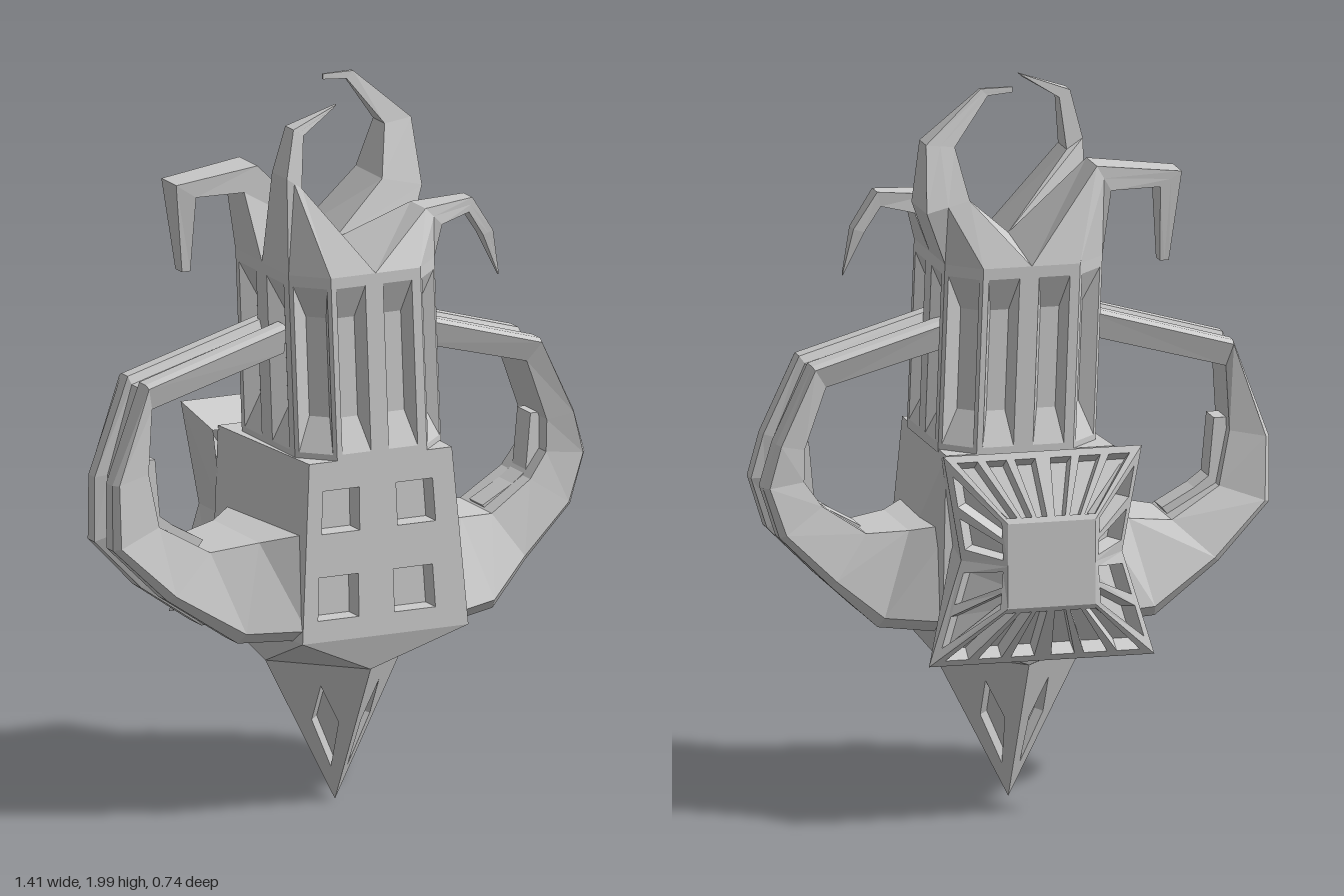
import * as THREE from 'three';

const V = (x, y, z) => new THREE.Vector3(x, y, z);
const V2 = (x, y) => new THREE.Vector2(x, y);
const material = new THREE.MeshStandardMaterial({ color: 0xcccccc, flatShading: true, side: THREE.DoubleSide });
const MID = 0.125; // z of the vertical axis of the body

function toMesh(points, name) {
  const geometry = new THREE.BufferGeometry().setFromPoints(points);
  geometry.computeVertexNormals();
  const mesh = new THREE.Mesh(geometry, material);
  mesh.name = name;
  return mesh;
}

// Four-sided panel facing away from centre, with tapered recesses given in panel coordinates (0..1)
function panel(out, corners, centre, holes = [], depth = 0.04, taper = 0.75) {
  let [a, b, c, d] = corners;
  const normal = c.clone().sub(a).cross(d.clone().sub(b)).normalize();
  const middle = a.clone().add(b).add(c).add(d).multiplyScalar(0.25);
  if (normal.dot(middle.sub(centre)) < 0) {
    [a, b, c, d] = [b, a, d, c];
    normal.negate();
  }
  const at = (p, sink = 0) => a.clone().lerp(b, p.x)
    .lerp(d.clone().lerp(c, p.x), p.y).addScaledVector(normal, -sink);
  const outline = [V2(0, 0), V2(1, 0), V2(1, 1), V2(0, 1)];
  const all = [...outline, ...holes.flat()];
  for (const [i, j, k] of THREE.ShapeUtils.triangulateShape(outline, holes)) {
    const [p, q, r] = [all[i], all[j], all[k]];
    const ccw = (q.x - p.x) * (r.y - p.y) - (q.y - p.y) * (r.x - p.x) > 0;
    out.push(at(p), at(ccw ? q : r), at(ccw ? r : q));
  }
  for (const hole of holes) {
    const mid = hole.reduce((s, p) => s.add(p), V2(0, 0)).divideScalar(hole.length);
    const floor = hole.map(p => at(mid.clone().lerp(p, taper), depth));
    hole.forEach((p, i) => {
      const j = (i + 1) % hole.length;
      const P = at(p), Q = at(hole[j]);
      out.push(P, Q, floor[j], P, floor[j], floor[i]);
      if (i > 0 && j > 0) out.push(floor[0], floor[i], floor[j]);
    });
  }
}

// Closed skin through rings of equal point count, turned outward by its signed volume
function loft(rings, name) {
  const out = [], n = rings[0].length;
  for (let s = 0; s < rings.length - 1; s++) {
    for (let i = 0; i < n; i++) {
      const j = (i + 1) % n, [A, B] = [rings[s], rings[s + 1]];
      out.push(A[i], A[j], B[j], A[i], B[j], B[i]);
    }
  }
  const first = rings[0], last = rings[rings.length - 1];
  for (let i = 1; i < n - 1; i++) {
    out.push(first[0], first[i + 1], first[i], last[0], last[i], last[i + 1]);
  }
  let volume = 0;
  for (let i = 0; i < out.length; i += 3) volume += out[i].dot(out[i + 1].clone().cross(out[i + 2]));
  if (volume < 0) {
    for (let i = 0; i < out.length; i += 3) [out[i], out[i + 1]] = [out[i + 1], out[i]];
  }
  return toMesh(out, name);
}

const rect = (u0, v0, u1, v1) => [V2(u0, v0), V2(u1, v0), V2(u1, v1), V2(u0, v1)];

// Four-sided ring from an outer and an inner point in the front plane
const ring = (ox, oy, ix, iy, w, z) =>
  [V(ox, oy, z - w), V(ox, oy, z + w), V(ix, iy, z + w), V(ix, iy, z - w)];

// The same with a fifth point on the side that faces the front (dir 1) or the back (dir -1)
const hornRing = (ox, oy, ix, iy, w, z, dir) => {
  const far = z + dir * w, near = z - dir * w;
  return [V(ox, oy, near), V(ox, oy, far), V((ox + ix) / 2, (oy + iy) / 2, far), V(ix, iy, far), V(ix, iy, near)];
};

// Arm ring with a channel along its outer side
function armRing([ox, oy, ix, iy, w, groove = 0.3, inner = 0.8], side, zc) {
  const point = (t, z) => V(side * (ox + (ix - ox) * t), oy + (iy - oy) * t, zc + z * w);
  return [point(0.12, -1), point(0, -0.8), point(0, -0.38), point(groove, -0.25), point(groove, 0.25),
    point(0, 0.38), point(0, 0.8), point(0.12, 1), point(1, inner), point(1, -inner)];
}

export function createModel() {
  const model = new THREE.Group();

  // Square body with four front windows
  const body = [], bodyCentre = V(0, 0.77, MID);
  const low = [V(-0.22, 0.52, 0.37), V(0.28, 0.52, 0.37), V(0.25, 0.52, -0.12), V(-0.25, 0.52, -0.12)];
  const high = [V(-0.2, 1.02, 0.37), V(0.23, 1.02, 0.37), V(0.24, 1.02, -0.12), V(-0.23, 1.02, -0.12)];
  const windows = [[0.09, 0.12], [0.56, 0.12], [0.1, 0.6], [0.6, 0.6]]
    .map(([u, v]) => rect(u, v, u + 0.25, v + 0.24));
  for (let i = 0; i < 4; i++) {
    const j = (i + 1) % 4;
    panel(body, [low[i], low[j], high[j], high[i]], bodyCentre, i === 0 ? windows : [], 0.06, 1);
  }
  panel(body, low, bodyCentre);
  panel(body, high, bodyCentre);
  model.add(toMesh(body, 'body'));

  // Tower with chamfered corners: two flutes on each broad face, one on each chamfer
  const tower = [], towerCentre = V(0, 1.28, MID);
  const outline = [[-0.135, 0.245], [0.135, 0.245], [0.22, 0.16], [0.22, -0.16],
    [0.135, -0.245], [-0.135, -0.245], [-0.22, -0.16], [-0.22, 0.16]];
  const foot = outline.map(([x, z]) => V(x + 0.02, 1.01, MID + z));
  const rim = outline.map(([x, z]) => V(x, 1.53, MID + z));
  const broad = [rect(0.06, 0.05, 0.38, 0.94), rect(0.58, 0.05, 0.9, 0.94)];
  const narrow = [rect(0.1, 0.05, 0.9, 0.94)];
  for (let i = 0; i < 8; i++) {
    const j = (i + 1) % 8;
    panel(tower, [foot[i], foot[j], rim[j], rim[i]], towerCentre, i % 2 ? narrow : broad, 0.04, 0.6);
  }
  model.add(toMesh(tower, 'tower'));

  // Four horns, one growing from each quarter of the tower top
  const horns = [
    ['frontRightHorn', -1, 0.25, [[-0.23, 1.8, -0.185, 1.77, 0.045], [-0.2, 1.93, -0.17, 1.91, 0.025],
      [-0.06, 1.98, -0.07, 1.97, 0.004]]],
    ['backLeftHorn', 1, 0.01, [[0.28, 1.68, 0.16, 1.71, 0.08], [0.27, 1.86, 0.19, 1.85, 0.035],
      [0.11, 2, 0.09, 1.98, 0.006], [0.02, 2, 0.02, 1.985, 0.003]]],
    ['frontLeftHorn', 1, 0.247, [[0.24, 1.62, 0.19, 1.67, 0.045], [0.33, 1.64, 0.34, 1.68, 0.027],
      [0.375, 1.57, 0.405, 1.58, 0.022], [0.43, 1.45, 0.43, 1.46, 0.004]]],
    ['backRightHorn', -1, 0.003, [[-0.24, 1.71, -0.2, 1.78, 0.055], [-0.38, 1.71, -0.44, 1.75, 0.045],
      [-0.385, 1.5, -0.41, 1.5, 0.02]]],
  ];
  for (const [name, side, z, sections] of horns) {
    const dir = z > MID ? 1 : -1;
    const base = [V(side * 0.22, 1.53, MID), V(side * 0.22, 1.53, MID + dir * 0.16),
      V(side * 0.135, 1.53, MID + dir * 0.245), V(0, 1.53, MID + dir * 0.245), V(0, 1.57, MID)];
    model.add(loft([base, ...sections.map(s => hornRing(...s, z, dir))], name));
  }

  // Curved arms from the body sides round to the tower
  const leftArm = [[0.25, 0.52, 0.2, 0.82, 0.235, 0.05, 0.9], [0.4, 0.53, 0.31, 0.79, 0.175, 0.15, 0.75],
    [0.52, 0.64, 0.42, 0.78, 0.12], [0.66, 0.78, 0.54, 0.86, 0.11], [0.705, 0.92, 0.59, 0.93, 0.105],
    [0.67, 1.04, 0.59, 1.02, 0.11], [0.57, 1.25, 0.53, 1.19, 0.11], [0.19, 1.36, 0.19, 1.28, 0.105]];
  const rightArm = [[0.21, 0.52, 0.19, 0.82, 0.24, 0.05, 0.9], [0.37, 0.52, 0.3, 0.79, 0.185, 0.15, 0.75],
    [0.56, 0.65, 0.43, 0.77, 0.13], [0.71, 0.8, 0.57, 0.85, 0.095], [0.71, 0.98, 0.6, 1, 0.09],
    [0.61, 1.25, 0.59, 1.18, 0.09], [0.19, 1.37, 0.19, 1.29, 0.085]];
  for (const [name, side, arm, zc] of [['leftArm', 1, leftArm, 0.135], ['rightArm', -1, rightArm, 0.13]]) {
    model.add(loft(arm.map(s => armRing(s, side, zc)), name));
    // Rib inside the bend
    const rib = [[0.63, 1.03, 0.565, 1.03], [0.62, 0.9, 0.55, 0.87], [0.55, 0.8, 0.51, 0.84], [0.46, 0.74, 0.42, 0.79]];
    model.add(loft(rib.map(([a, b, c, d]) => ring(side * a, b, side * c, d, 0.04, zc)), name + 'Rib'));
  }

  // Flared back housing with pinched sides and a slotted, chamfered cap
  const housing = [], housingCentre = V(0, 0.77, -0.2);
  const frame = (x0, x1, y0, y1, z, pinch) => {
    const xm = (x0 + x1) / 2, ym = (y0 + y1) / 2;
    return [V(x0, y0, z), V(xm, y0, z), V(x1, y0, z), V(x1 - pinch, ym, z),
      V(x1, y1, z), V(xm, y1, z), V(x0, y1, z), V(x0 + pinch, ym, z)];
  };
  const neck = frame(-0.25, 0.25, 0.53, 1.01, -0.11, 0.03);
  const brim = frame(-0.3, 0.33, 0.475, 1.055, -0.275, 0.09);
  // The upper corners of the brim stand closer together
  brim[4].x = 0.29;
  brim[6].x = -0.265;
  const plate = frame(-0.11, 0.135, 0.645, 0.88, -0.37, 0);
  const threeSlots = [0.08, 0.39, 0.7].map(u => rect(u, 0.1, u + 0.22, 0.92));
  const twoSlots = [0.12, 0.56].map(u => rect(u, 0.12, u + 0.32, 0.9));
  for (let i = 0; i < 8; i++) {
    const j = (i + 1) % 8;
    panel(housing, [neck[i], neck[j], brim[j], brim[i]], housingCentre);
    panel(housing, [brim[i], brim[j], plate[j], plate[i]], housingCentre,
      i % 4 < 2 ? threeSlots : twoSlots, 0.045, 0.95);
  }
  panel(housing, [plate[0], plate[2], plate[4], plate[6]], housingCentre);
  model.add(toMesh(housing, 'backHousing'));

  // Pointed tail: square at the top, diamond below, with a lozenge sunk in each face
  const tail = [], tailCentre = V(0, 0.42, MID), tip = V(0, 0.01, MID);
  const mids = [V(0, 0.42, 0.34), V(0.21, 0.42, MID), V(0, 0.42, -0.09), V(-0.21, 0.42, MID)];
  const lozenge = [V2(0.5, 0.16), V2(0.72, 0.42), V2(0.5, 0.76), V2(0.28, 0.42)];
  for (let i = 0; i < 4; i++) {
    const j = (i + 1) % 4;
    panel(tail, [low[i], low[j], mids[i], mids[i]], tailCentre);
    panel(tail, [mids[i], mids[j], low[j], low[j]], tailCentre);
    panel(tail, [mids[i], mids[j], tip, tip], tailCentre, [lozenge], 0.025, 0.85);
  }
  model.add(toMesh(tail, 'tail'));

  return model;
}
